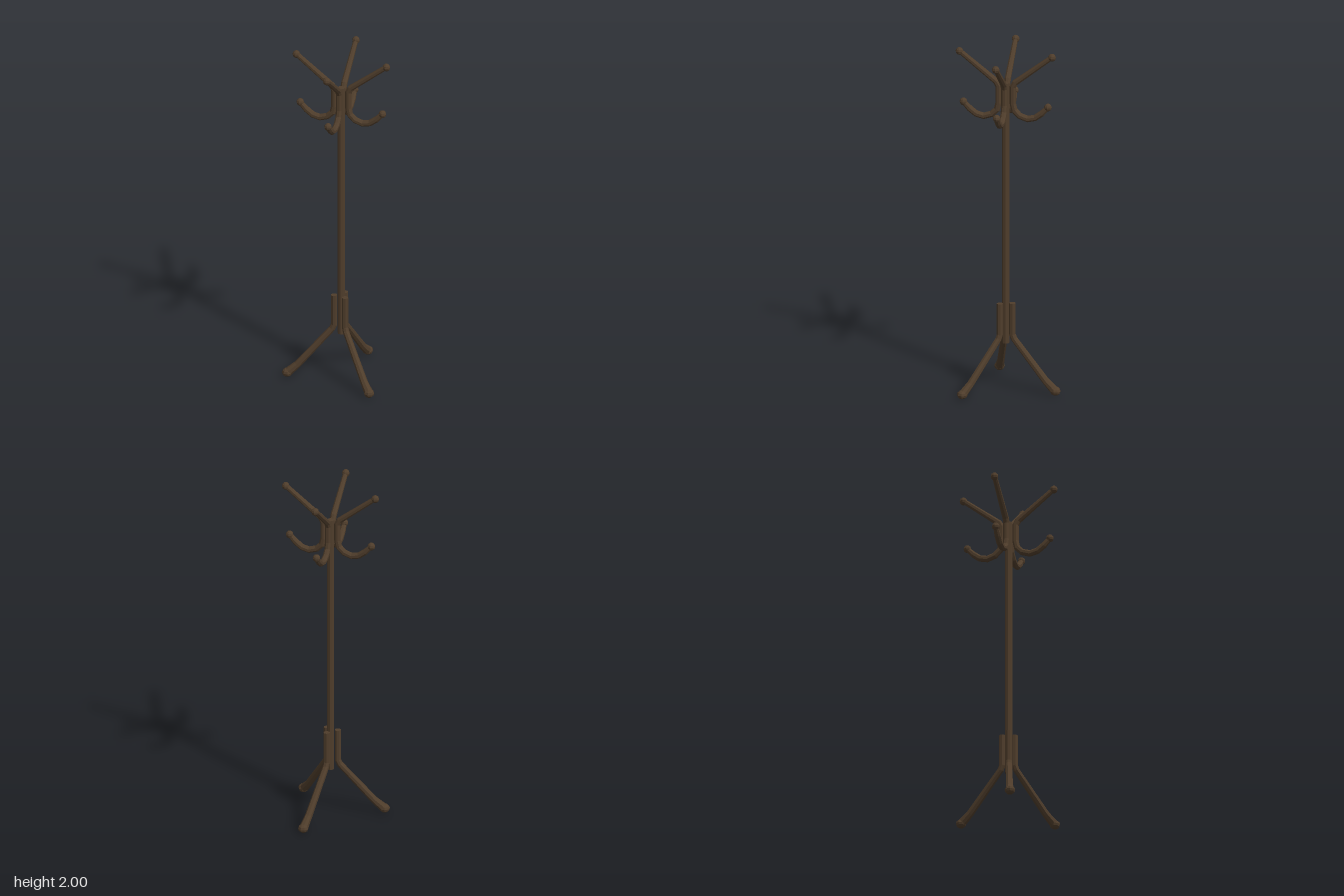
import * as THREE from 'three';

const wood = new THREE.MeshStandardMaterial({ color: 0x4f3d2b, flatShading: true });
const CENTER = [0.02, 0.018]; // x, z of the pole axis
const SIDES = 8;

// Sweeps a polygon along a path in the (distance, height) plane; points are [d, y, radius].
function sweep(points) {
  const pos = [], idx = [];
  const dir = (a, b) => new THREE.Vector2(b[0] - a[0], b[1] - a[1]).normalize();
  points.forEach((p, i) => {
    const before = dir(points[Math.max(i - 1, 0)], points[Math.max(i, 1)]);
    const last = points.length - 1;
    const after = dir(points[Math.min(i, last - 1)], points[Math.min(i + 1, last)]);
    const t = before.clone().add(after).normalize();
    const miter = 1 / t.dot(before);
    for (let j = 0; j < SIDES; j++) {
      const a = ((j + 0.5) / SIDES) * Math.PI * 2;
      const u = Math.cos(a) * p[2] * miter;
      pos.push(p[0] - t.y * u, p[1] + t.x * u, Math.sin(a) * p[2]);
    }
  });
  for (let i = 0; i < points.length - 1; i++) {
    for (let j = 0; j < SIDES; j++) {
      const a = i * SIDES + j, b = i * SIDES + (j + 1) % SIDES;
      idx.push(a, b, a + SIDES, b, b + SIDES, a + SIDES);
    }
  }
  // End caps
  const end = (points.length - 1) * SIDES;
  for (let j = 1; j < SIDES - 1; j++) {
    idx.push(0, j + 1, j, end, end + j, end + j + 1);
  }
  const geo = new THREE.BufferGeometry();
  geo.setAttribute('position', new THREE.Float32BufferAttribute(pos, 3));
  geo.setIndex(idx);
  geo.computeVertexNormals();
  return geo;
}

function add(parent, name, geo, x = 0, y = 0) {
  const mesh = new THREE.Mesh(geo, wood);
  mesh.name = name;
  mesh.position.set(x, y, 0);
  parent.add(mesh);
  return mesh;
}

export function createModel() {
  const model = new THREE.Group();
  model.name = 'coatStand';
  const stand = new THREE.Group();
  stand.name = 'stand';
  stand.position.set(CENTER[0], 0, CENTER[1]);
  model.add(stand);

  // Central pole
  add(stand, 'pole', new THREE.CylinderGeometry(0.021, 0.021, 1.54, SIDES), 0, 1.04);

  // Four arms, each a raised branch and a lower hook with knobs on both ends
  const R = 0.018;
  const armGeo = sweep([
    [0.24, 1.68, R * 0.8], [0.205, 1.643, R], [0.168, 1.615, R], [0.125, 1.605, R],
    [0.08, 1.62, R], [0.05, 1.65, R], [0.041, 1.69, R],
    [0.041, 1.79, R], [0.054, 1.815, R], [0.262, 1.979, R * 0.8],
  ]);
  const knobGeo = new THREE.SphereGeometry(0.022, 8, 6);
  for (let i = 0; i < 4; i++) {
    const arm = new THREE.Group();
    arm.name = 'arm' + (i + 1);
    arm.rotation.y = -THREE.MathUtils.degToRad(7.7 + i * 90);
    add(arm, 'branchAndHook', armGeo);
    add(arm, 'upperKnob', knobGeo, 0.264, 1.979);
    add(arm, 'hookKnob', knobGeo, 0.241, 1.682);
    stand.add(arm);
  }

  // Three splayed legs flaring into rounded feet
  const legGeo = sweep([
    [0.041, 0.51, R], [0.041, 0.325, R], [0.051, 0.3, R],
    [0.245, 0.075, 0.021], [0.295, 0.03, 0.025],
  ]);
  const footGeo = new THREE.SphereGeometry(0.03, 8, 6).scale(1, 0.85, 1);
  for (let i = 0; i < 3; i++) {
    const leg = new THREE.Group();
    leg.name = 'leg' + (i + 1);
    leg.rotation.y = -THREE.MathUtils.degToRad(49 + i * 120);
    add(leg, 'legBar', legGeo);
    add(leg, 'foot', footGeo, 0.302, 0.0255);
    stand.add(leg);
  }
  return model;
}
